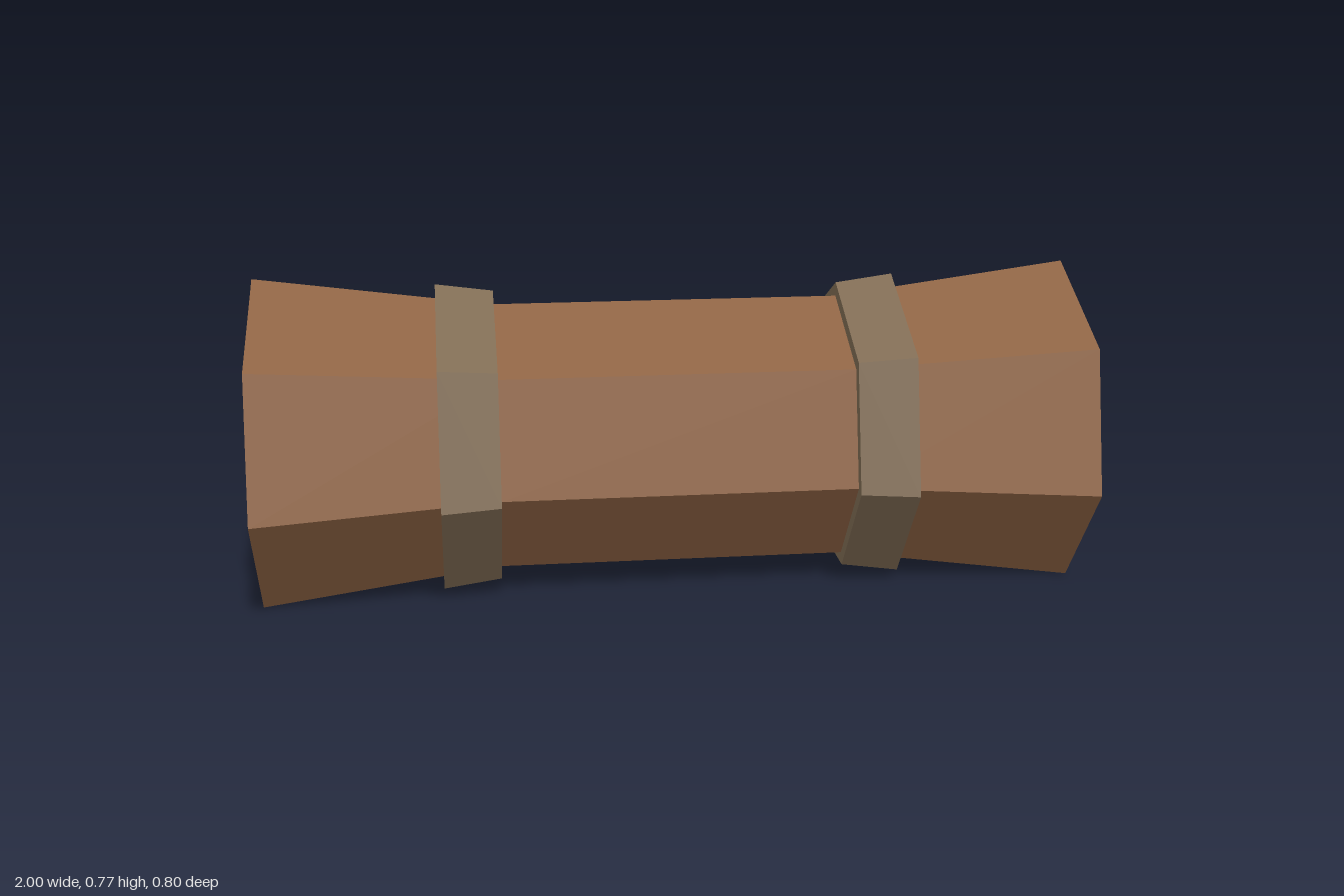
import * as THREE from 'three';

const CY = 0.371;

// Spiral seen from the end as [z, y]: loose flap corner first, then seven corners per turn inwards
const SPIRAL = [
  [0.177, 0.003], [0.398, 0.28], [0.318, 0.622], [0, 0.775], [-0.318, 0.622], [-0.398, 0.28], [-0.176, 0.003],
  [0.128, 0.076], [0.295, 0.315], [0.24, 0.56], [0, 0.673], [-0.24, 0.56], [-0.298, 0.3], [-0.14, 0.104],
  [0.09, 0.16], [0.21, 0.347], [0.175, 0.506], [0, 0.588], [-0.175, 0.506], [-0.213, 0.318], [-0.113, 0.19],
  [0.055, 0.232], [0.107, 0.385], [0.095, 0.445], [0, 0.487], [-0.095, 0.445], [-0.116, 0.343], [-0.076, 0.293],
  [0.013, 0.316],
];
const CENTRE = [-0.01, 0.388];

function build(points, index) {
  const g = new THREE.BufferGeometry();
  g.setAttribute('position', new THREE.Float32BufferAttribute(points.flat(), 3));
  g.setIndex(index);
  const flat = g.toNonIndexed();
  flat.computeVertexNormals();
  return flat;
}

// Outer wrap: eight-corner section with a loose flap, narrow between the straps
function wrapGeometry() {
  const stations = [[-1, 1], [-0.425, 0.812], [0.425, 0.812], [1, 1]];
  const points = [], index = [];
  for (const [x, s] of stations)
    for (const [z, y] of SPIRAL.slice(0, 8)) points.push([x, CY + (y - CY) * s, z * s]);
  for (let k = 0; k < stations.length - 1; k++)
    for (let i = 0; i < 8; i++) {
      const a = k * 8 + i, b = k * 8 + (i + 1) % 8;
      index.push(a, b + 8, b, a, a + 8, b + 8);
    }
  return build(points, index);
}

// Rolled end: flap triangle, then closed rings alternating ridge and groove, then a low peak
function endGeometry(side) {
  const depths = [1, 0.94, 0.97, 0.93];
  const points = SPIRAL.map(([z, y], i) => [side * (i ? depths[Math.floor((i - 1) / 7)] : 1), y, z]);
  const centre = points.push([side * 0.95, CENTRE[1], CENTRE[0]]) - 1;
  const tris = [[0, 7, 1]];
  for (let ring = 0; ring < 4; ring++)
    for (let j = 0; j < 7; j++) {
      const a = 1 + ring * 7 + j, b = 1 + ring * 7 + (j + 1) % 7;
      if (ring < 3) tris.push([a, a + 7, b + 7], [a, b + 7, b]);
      else tris.push([a, centre, b]);
    }
  return build(points, tris.flatMap((t) => (side > 0 ? t : [t[0], t[2], t[1]])));
}

export function createModel() {
  const model = new THREE.Group();
  model.name = 'bedroll';
  const cloth = new THREE.MeshStandardMaterial({ color: 0x8e6343, flatShading: true });
  const leather = new THREE.MeshStandardMaterial({ color: 0x806c54, flatShading: true });
  const add = (name, geometry, material) => {
    const mesh = new THREE.Mesh(geometry, material);
    mesh.name = name;
    model.add(mesh);
    return mesh;
  };

  add('outerWrap', wrapGeometry(), cloth);

  for (const side of [1, -1]) {
    const label = side > 0 ? 'left' : 'right';
    add(label + 'RolledEnd', endGeometry(side), cloth);

    // Seven-sided strap, wider towards the end of the roll
    const outer = 0.381, inner = 0.362;
    const strap = new THREE.CylinderGeometry(side > 0 ? outer : inner, side > 0 ? inner : outer, 0.14, 7);
    strap.rotateZ(-Math.PI / 2).rotateX(-Math.PI / 2);
    add(label + 'Strap', strap, leather).position.set(side * 0.495, CY, 0);
  }
  return model;
}
